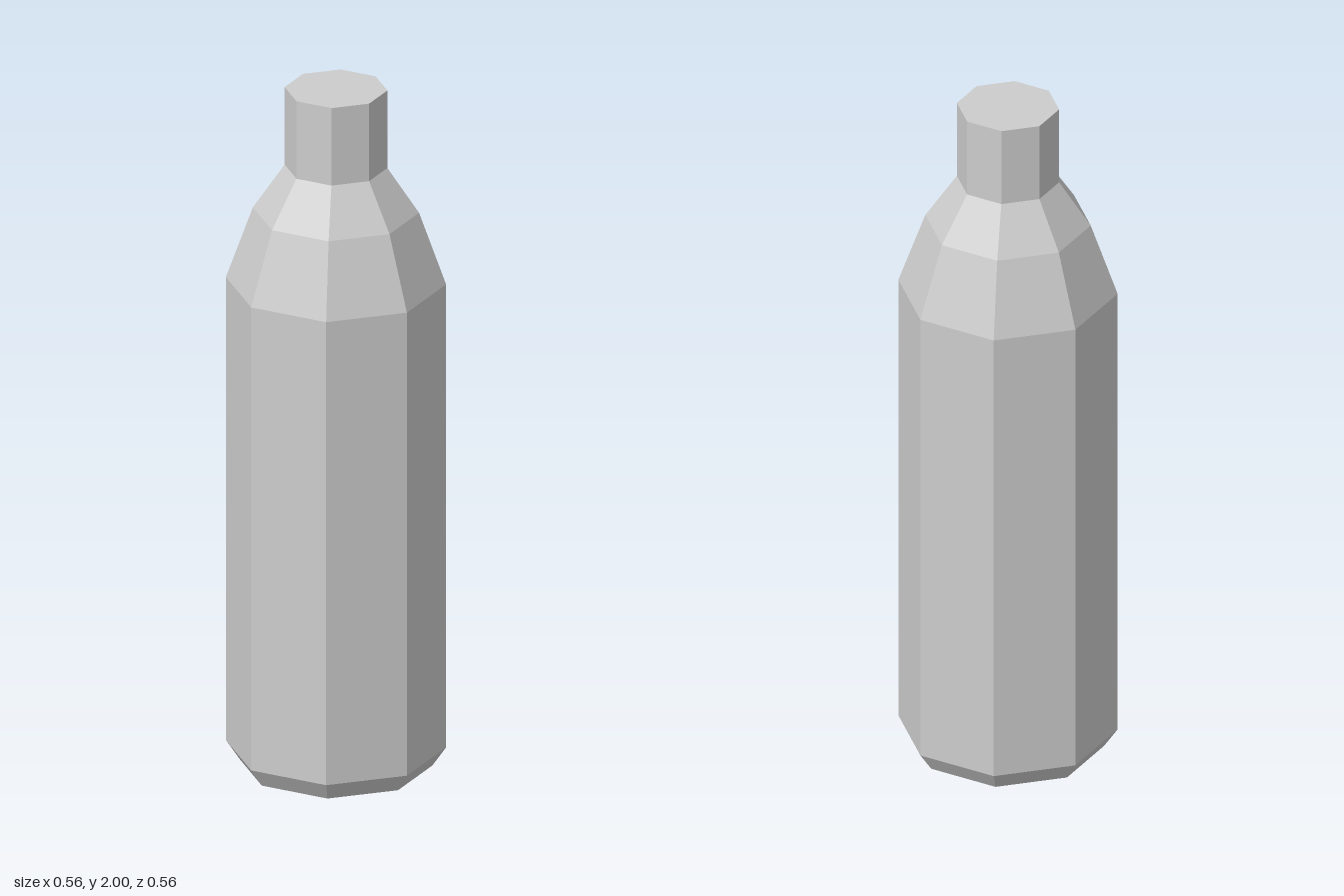
import * as THREE from 'three';

const SIDES = 8;

export function createModel() {
  const bottle = new THREE.Group();
  bottle.name = 'bottle';

  const grey = new THREE.MeshStandardMaterial({ color: 0xcccccc, flatShading: true });
  grey.name = 'light grey';

  // Eight-sided lathe with its flats square to the axes; profile rows are [flat distance, height]
  function addTurned(name, profile) {
    const scale = 1 / Math.cos(Math.PI / SIDES);
    const points = profile.map(([r, y]) => new THREE.Vector2(r * scale, y));
    const geometry = new THREE.LatheGeometry(points, SIDES, Math.PI / SIDES).toNonIndexed();
    geometry.computeVertexNormals();
    const mesh = new THREE.Mesh(geometry, grey);
    mesh.name = name;
    bottle.add(mesh);
  }

  // Closed base, bevelled foot and straight wall
  addTurned('body', [[0, 0], [0.246, 0], [0.281, 0.055], [0.281, 1.43]]);
  // Two-step taper up to the neck
  addTurned('shoulder', [[0.281, 1.43], [0.212, 1.64], [0.131, 1.77]]);
  // Straight neck with a flat closed top
  addTurned('neck', [[0.131, 1.77], [0.131, 2], [0, 2]]);

  return bottle;
}
